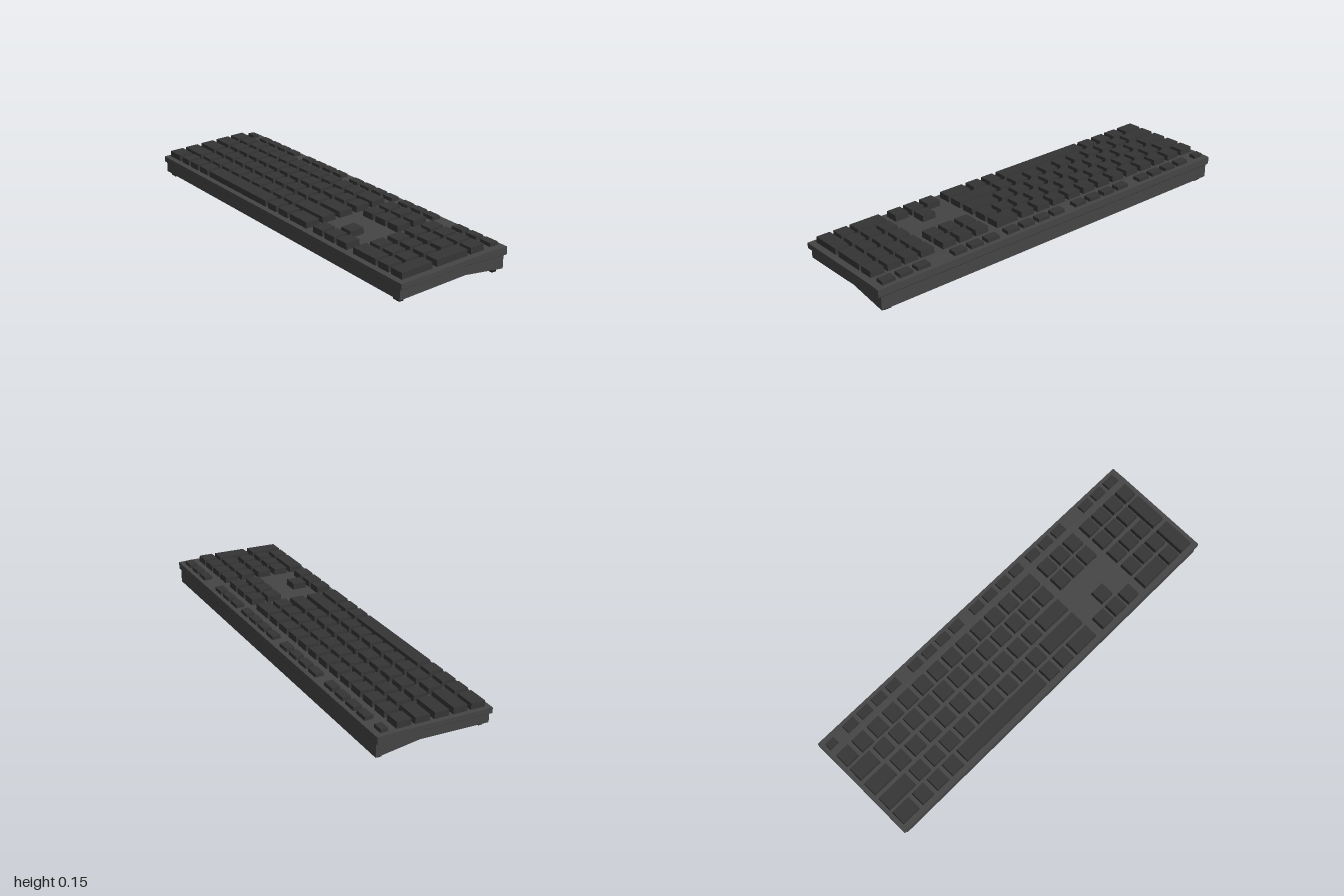
import * as THREE from 'three';
import { RoundedBoxGeometry } from 'three/addons/geometries/RoundedBoxGeometry.js';

const caseMat = new THREE.MeshStandardMaterial({ color: 0x454545 });
const keyMat = new THREE.MeshStandardMaterial({ color: 0x353535 });
const darkMat = new THREE.MeshStandardMaterial({ color: 0x222222 });

const SLOPE = 0.054;
const plateY = x => Math.min(0.097 + (x + 0.288) * SLOPE, 0.124);

// Side profile (x, y) extruded along z, centred
function slab(name, points, length, material) {
  const shape = new THREE.Shape(points.map(p => new THREE.Vector2(p[0], p[1])));
  const geo = new THREE.ExtrudeGeometry(shape, { depth: length, bevelEnabled: false });
  geo.translate(0, 0, -length / 2);
  const mesh = new THREE.Mesh(geo, material);
  mesh.name = name;
  return mesh;
}

// Box keycap with a slightly narrower top, tilted along the plate
function keycap(name, x0, x1, z0, z1, rise, tilt) {
  const h = rise + 0.01;
  const geo = new THREE.BoxGeometry(x1 - x0, h, z1 - z0);
  const p = geo.attributes.position;
  for (let i = 0; i < p.count; i++) {
    if (p.getY(i) > 0) {
      p.setX(i, p.getX(i) - Math.sign(p.getX(i)) * 0.002);
      p.setZ(i, p.getZ(i) - Math.sign(p.getZ(i)) * 0.002);
    }
  }
  geo.computeVertexNormals();
  const x = (x0 + x1) / 2;
  const mesh = new THREE.Mesh(geo, keyMat);
  mesh.position.set(x, plateY(x) + rise - h / 2, (z0 + z1) / 2);
  mesh.rotation.z = tilt;
  mesh.name = name;
  return mesh;
}

export function createModel() {
  const model = new THREE.Group();
  model.name = 'keyboard';

  // Case: arched base, dark seam and overhanging top plate
  model.add(slab('caseBase', [[-0.283, 0.018], [0.068, 0.041], [0.283, 0.018],
    [0.283, 0.086], [0.07, 0.091], [-0.283, 0.069]], 1.97, caseMat));
  model.add(slab('caseSeam', [[-0.285, 0.067], [0.07, 0.089], [0.285, 0.085],
    [0.285, 0.09], [0.07, 0.094], [-0.285, 0.072]], 1.992, darkMat));
  model.add(slab('topPlate', [[-0.288, 0.07], [0.07, 0.092], [0.287, 0.088],
    [0.287, 0.124], [0.212, 0.124], [-0.288, 0.097]], 2, caseMat));

  // Feet
  for (const x of [-0.257, 0.253]) {
    for (const z of [-0.945, 0.945]) {
      const foot = new THREE.Mesh(new RoundedBoxGeometry(0.027, 0.03, 0.042, 2, 0.005), darkMat);
      foot.position.set(x, 0.015, z);
      foot.name = 'foot';
      model.add(foot);
    }
  }

  const rows = [[-0.262, -0.188], [-0.172, -0.098], [-0.077, -0.003], [0.018, 0.093], [0.108, 0.183]];
  const tilt = Math.atan(SLOPE);
  const keys = new THREE.Group();
  keys.name = 'keys';
  model.add(keys);
  const addKey = (name, r0, r1, z0, z1) =>
    keys.add(keycap(name, rows[r0][0], rows[r1][1], z0, z1, 0.03, tilt));

  // Main block: key widths per row in key units
  const ones = n => Array(n).fill(1);
  const mainRows = [
    [1.28, 0.97, 1, 1, 5.7, 0.95, 1, 1.6],
    [1.95, ...ones(9), 2.55],
    [1.65, ...ones(10), 1.85],
    [1.5, ...ones(12)],
    [...ones(12), 1.5],
  ];
  const unit = 0.0955;
  mainRows.forEach((widths, r) => {
    let z = -0.979;
    for (const w of widths) {
      addKey('mainKey', r, r, z, z + w * unit - 0.02);
      z += w * unit;
    }
  });

  // Arrow keys and the navigation cluster
  const nav = [[0, 1, 2], [1], [], [0, 1, 2], [0, 1, 2]];
  nav.forEach((cols, r) => cols.forEach(c => {
    const z = 0.339 + c * 0.09;
    addKey('navigationKey', r, r, z, z + 0.073);
  }));

  // Number pad: [first row, last row, first column, last column]
  const pad = [[0, 0, 0, 1], [0, 0, 2, 2], [0, 1, 3, 3], [2, 3, 3, 3], [4, 4, 3, 3]];
  for (let r = 1; r < 5; r++) for (let c = 0; c < 3; c++) pad.push([r, r, c, c]);
  for (const [r0, r1, c0, c1] of pad) {
    addKey('numberPadKey', r0, r1, 0.637 + c0 * 0.0865, 0.637 + c1 * 0.0865 + 0.072);
  }

  // Low function row: [start z, count]
  keys.add(keycap('escapeKey', 0.221, 0.259, -0.979, -0.925, 0.017, 0));
  for (const [start, count] of [[-0.867, 4], [-0.453, 4], [-0.046, 4], [0.339, 3], [0.715, 3]]) {
    for (let i = 0; i < count; i++) {
      const z = start + i * 0.09;
      keys.add(keycap('functionKey', 0.221, 0.266, z, z + 0.07, 0.017, 0));
    }
  }
  return model;
}
